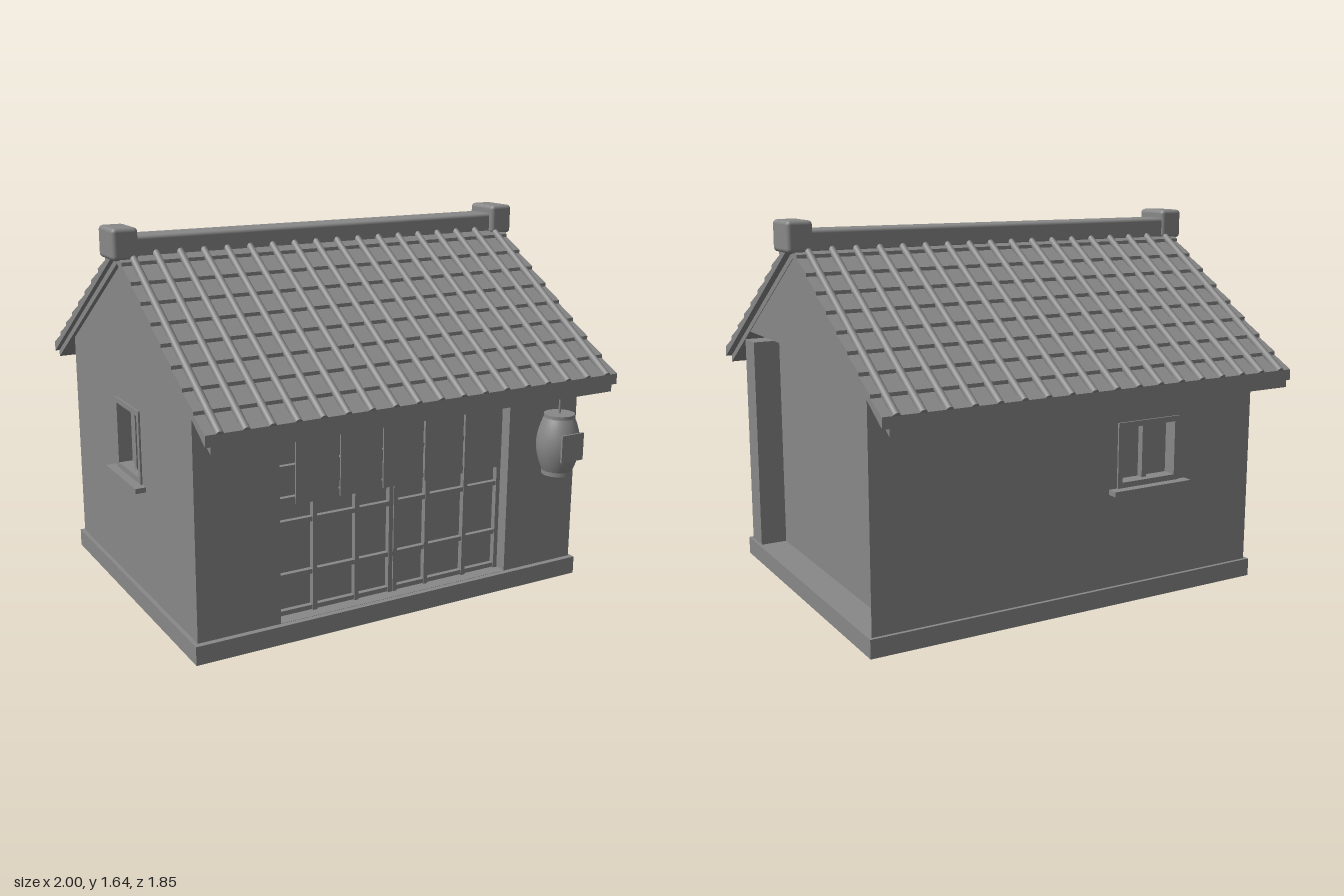
import * as THREE from 'three';
import { RoundedBoxGeometry } from 'three/addons/geometries/RoundedBoxGeometry.js';

export function createModel() {
  const model = new THREE.Group();
  model.name = 'shopHouse';
  const grey = new THREE.MeshStandardMaterial({ color: 0x888888 });
  grey.name = 'clay grey';

  const add = (name, geometry, parent = model) => {
    const mesh = new THREE.Mesh(geometry, grey);
    mesh.name = name;
    parent.add(mesh);
    return mesh;
  };
  const group = (name) => {
    const g = new THREE.Group();
    g.name = name;
    model.add(g);
    return g;
  };
  // Box given by its lower and upper limits on each axis
  const box = (name, x0, x1, y0, y1, z0, z1, parent, radius = 0) => {
    const size = [x1 - x0, y1 - y0, z1 - z0];
    const g = radius ? new RoundedBoxGeometry(...size, 2, radius) : new THREE.BoxGeometry(...size);
    g.translate((x0 + x1) / 2, (y0 + y1) / 2, (z0 + z1) / 2);
    return add(name, g, parent);
  };
  const outline = (points, hole) => {
    const toVectors = (list) => list.map(([a, b]) => new THREE.Vector2(a, b));
    const shape = new THREE.Shape(toVectors(points));
    if (hole) shape.holes.push(new THREE.Path(toVectors(hole)));
    return shape;
  };
  const rect = (a0, a1, b0, b1) => [[a0, b0], [a1, b0], [a1, b1], [a0, b1]];
  // Extrusion along z of an (x, y) outline
  const alongZ = (name, shape, z0, z1, parent) => {
    const g = new THREE.ExtrudeGeometry(shape, { depth: z1 - z0, bevelEnabled: false });
    return add(name, g.translate(0, 0, z0), parent);
  };
  // Extrusion along x of a (z, y) outline
  const alongX = (name, shape, x0, x1, parent) => {
    const g = new THREE.ExtrudeGeometry(shape, { depth: x1 - x0, bevelEnabled: false });
    return add(name, g.rotateY(-Math.PI / 2).translate(x1, 0, 0), parent);
  };

  // Base: a hollow plinth with a raised floor
  const base = group('base');
  const plinth = new THREE.ExtrudeGeometry(
    outline(rect(-0.95, 0.945, -0.715, 0.725), rect(-0.83, 0.82, -0.59, 0.6)),
    { depth: 0.08, bevelEnabled: false });
  add('plinth', plinth.rotateX(-Math.PI / 2), base);
  box('floor', -0.84, 0.83, 0.06, 0.08, -0.61, 0.6, base);

  // Walls
  const W = 0.932, FRONT = 0.69, BACK = -0.71, SLOPE = 0.637, RIDGE_Z = -0.005;
  const under = (z) => 1.5 - SLOPE * Math.abs(z - RIDGE_Z);
  const walls = group('walls');
  alongZ('frontWall', outline(rect(-W, W, 0.08, 1.055), rect(-0.565, 0.56, 0.081, 0.93)), 0.57, FRONT, walls);
  alongZ('backWall', outline(rect(-W, 0.81, 0.08, 1.045), rect(-0.53, -0.21, 0.515, 0.8)), BACK, -0.59, walls);
  const gable = (y0) => [[BACK, y0], [FRONT, y0], [FRONT, under(FRONT)], [RIDGE_Z, 1.5], [BACK, under(BACK)]];
  alongX('leftSideWall', outline(gable(0.08), rect(-0.155, 0.135, 0.57, 0.89)), -W, -0.82, walls);
  const zEdge = 0.4 / SLOPE;
  alongX('openSideGable', outline([[RIDGE_Z - zEdge, 1.1], [RIDGE_Z + zEdge, 1.1], [RIDGE_Z, 1.5]]), 0.81, W, walls);
  box('recessedSideWall', 0.75, 0.81, 0.08, 1.12, -0.6, 0.58, walls);
  const wedge = new THREE.ExtrudeGeometry(
    outline([[0.81, -BACK], [W, -BACK], [0.81, 0.59]]), { depth: 0.97, bevelEnabled: false });
  add('slantedCorner', wedge.rotateX(-Math.PI / 2).translate(0, 0.08, 0), walls);

  // Roof: boards under stepped rows of tiles, with round ribs on top
  const roof = group('roof');
  const EAVE = 0.908, ROWS = 9, RIBS = 18;
  const slopeLayer = (side, lower, upper) => [
    [RIDGE_Z, 1.5 + lower], [RIDGE_Z, 1.5 + upper],
    [RIDGE_Z + side * EAVE, 1.5 + upper - SLOPE * EAVE],
    [RIDGE_Z + side * EAVE, 1.5 + lower - SLOPE * EAVE],
  ];
  for (const side of [1, -1]) {
    alongX('roofBoards', outline(slopeLayer(side, -0.005, 0.025)), -0.95, 0.935, roof);
    const tiles = [[RIDGE_Z, 1.525]];
    for (let i = 0; i < ROWS; i++) {
      const d0 = (i / ROWS) * EAVE, d1 = ((i + 1) / ROWS) * EAVE;
      tiles.push([RIDGE_Z + side * d0, 1.556 - SLOPE * d0]);
      tiles.push([RIDGE_Z + side * d1, 1.571 - SLOPE * d1]);
    }
    tiles.push([RIDGE_Z + side * EAVE, 1.525 - SLOPE * EAVE]);
    alongX('tileRows', outline(tiles), -0.97, 0.963, roof);

    const d0 = 0.04, d1 = EAVE, run = d1 - d0;
    for (let i = 0; i < RIBS; i++) {
      const rib = new THREE.CylinderGeometry(0.016, 0.016, run * Math.hypot(1, SLOPE), 10);
      rib.rotateX(Math.atan2(side, -SLOPE));
      const mid = (d0 + d1) / 2;
      rib.translate(-0.912 + i * 0.1069, 1.569 - SLOPE * mid, RIDGE_Z + side * mid);
      add('tileRib', rib, roof);
    }
  }
  box('ridgeBeam', -0.93, 0.93, 1.51, 1.605, -0.085, 0.06, roof, 0.015);
  box('ridgeEnd', -1, -0.888, 1.51, 1.643, -0.094, 0.084, roof, 0.018);
  box('ridgeEnd', 0.882, 0.995, 1.51, 1.643, -0.094, 0.084, roof, 0.018);

  // Sliding lattice doors
  const doors = group('slidingDoors');
  box('doorPanel', -0.565, 0.56, 0.08, 0.94, 0.6, 0.615, doors);
  for (const x of [-0.552, -0.38, -0.18, -0.013, 0.011, 0.17, 0.37, 0.547])
    box('latticePost', x - 0.01, x + 0.01, 0.08, 0.93, 0.61, 0.64, doors);
  for (const y of [0.095, 0.255, 0.485, 0.585, 0.72])
    box('latticeRail', -0.56, 0.555, y - 0.01, y + 0.01, 0.61, 0.637, doors);

  // Split curtain hanging from a rod
  const curtain = group('curtain');
  const rod = new THREE.CylinderGeometry(0.011, 0.011, 1.1, 10);
  add('curtainRod', rod.rotateZ(Math.PI / 2).translate(0, 0.95, 0.72), curtain);
  for (let i = 0; i < 5; i++) {
    const x = -0.51 + i * 0.2025;
    box('curtainPanel', x, x + 0.193, 0.595, 0.95, 0.715, 0.723, curtain);
  }

  // Windows, modelled facing +z about their sill centre
  const addWindow = (name, width, height, sillWidth) => {
    const g = group(name);
    const w = width / 2;
    box('windowPane', -w, w, 0, height, -0.07, -0.055, g);
    for (const x of [-w + 0.012, 0, w - 0.012])
      box('windowPost', x - 0.012, x + 0.012, 0, height, -0.06, x ? 0.008 : -0.025, g);
    for (const y of [0.012, height - 0.012])
      box('windowRail', -w, w, y - 0.012, y + 0.012, -0.06, 0.008, g);
    box('windowSill', -sillWidth / 2, sillWidth / 2, -0.022, 0, -0.03, 0.047, g);
    return g;
  };
  const backWindow = addWindow('backWindow', 0.32, 0.285, 0.4);
  backWindow.position.set(-0.37, 0.515, BACK);
  backWindow.rotation.y = Math.PI;
  const sideWindow = addWindow('sideWindow', 0.29, 0.32, 0.37);
  sideWindow.position.set(-W, 0.57, -0.01);
  sideWindow.rotation.y = -Math.PI / 2;

  // Hanging paper lantern
  const lantern = group('lantern');
  lantern.position.set(0.715, 0, 0.832);
  const cap = (name, y) => add(name, new THREE.CylinderGeometry(0.066, 0.066, 0.02, 24).translate(0, y, 0), lantern);
  cap('lanternTop', 0.821);
  cap('lanternBottom', 0.571);
  const profile = [[0.064, 0.575], [0.078, 0.61], [0.09, 0.655], [0.094, 0.697], [0.09, 0.74], [0.078, 0.785], [0.064, 0.82]];
  add('lanternBody', new THREE.LatheGeometry(
    new THREE.SplineCurve(profile.map(([r, y]) => new THREE.Vector2(r, y))).getPoints(18), 28), lantern);
  add('lanternCord', new THREE.CylinderGeometry(0.005, 0.005, 0.13, 8).translate(0, 0.885, 0), lantern);
  box('lanternPlate', -0.058, 0.058, 0.64, 0.76, 0.088, 0.097, lantern);

  return model;
}
